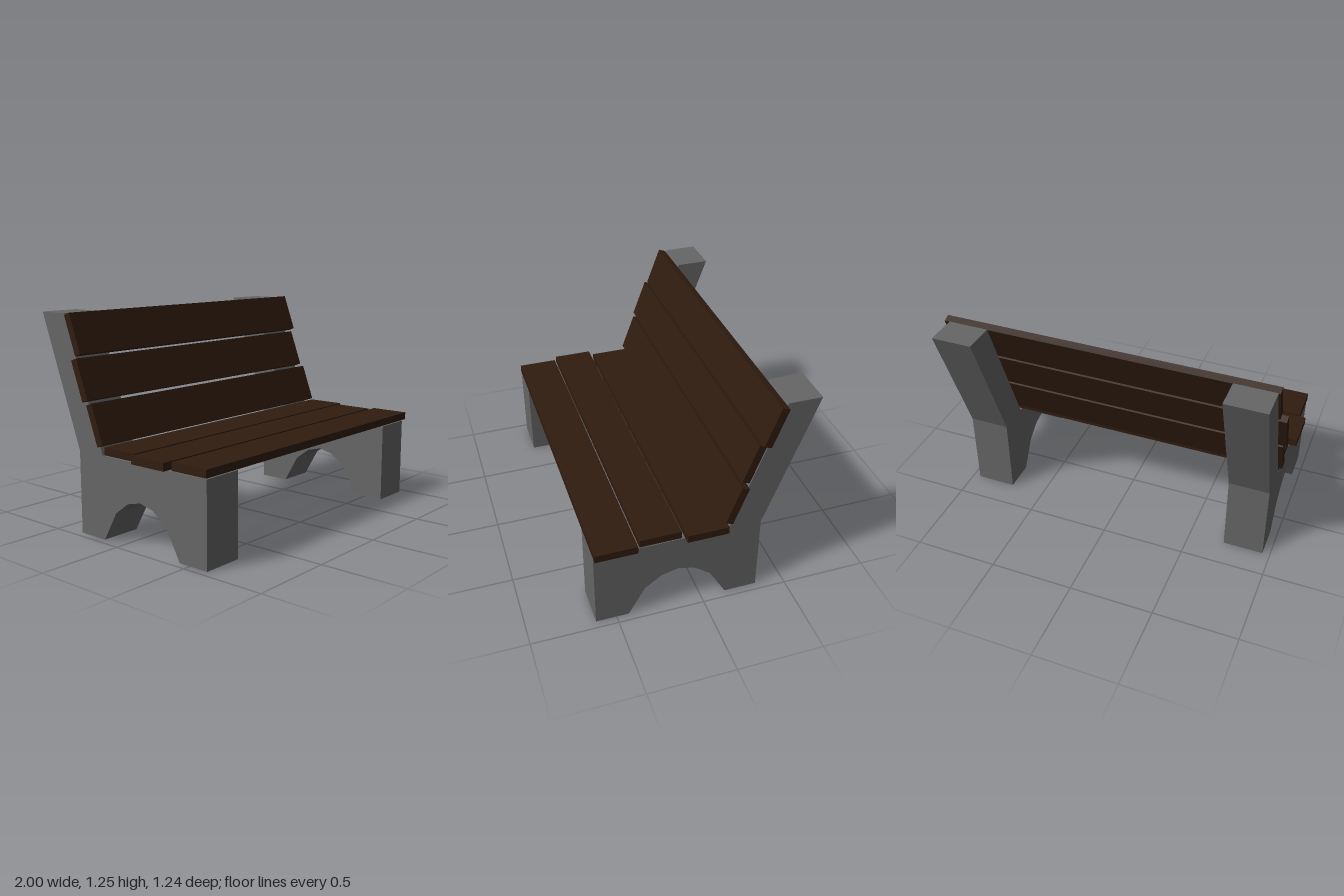
import * as THREE from 'three';

const stone = new THREE.MeshStandardMaterial({ color: 0x666666, flatShading: true });
const wood = new THREE.MeshStandardMaterial({ color: 0x301c0f, flatShading: true });

const SLAT_WIDTH = 0.238;
const SLAT_THICKNESS = 0.045;
const BACK_TILT = Math.atan2(0.285, 0.765);

// Side profile of a support as [z, y], with an arch between the feet
const PROFILE = [
  [0.62, 0], [0.62, 0.48], [-0.145, 0.48], [-0.43, 1.244], [-0.62, 1.244],
  [-0.335, 0.48], [-0.335, 0], [-0.145, 0], [-0.048, 0.17], [0.048, 0.242],
  [0.143, 0.265], [0.238, 0.242], [0.335, 0.17], [0.43, 0],
];

function createSupport(name, centreX) {
  const shape = new THREE.Shape(PROFILE.map(([z, y]) => new THREE.Vector2(z, y)));
  const depth = 0.24;
  const geometry = new THREE.ExtrudeGeometry(shape, { depth, bevelEnabled: false });
  geometry.translate(0, 0, -depth / 2).rotateY(-Math.PI / 2);
  const mesh = new THREE.Mesh(geometry, stone);
  mesh.name = name;
  mesh.position.x = centreX;
  return mesh;
}

// A plank between two x positions; its broad face lies flat before tilting
function createSlat(name, [x0, x1], y, z, tilt) {
  const mesh = new THREE.Mesh(new THREE.BoxGeometry(x1 - x0, SLAT_THICKNESS, SLAT_WIDTH), wood);
  mesh.name = name;
  mesh.position.set((x0 + x1) / 2, y, z);
  mesh.rotation.x = tilt;
  return mesh;
}

export function createModel() {
  const bench = new THREE.Group();
  bench.name = 'bench';

  bench.add(createSupport('leftSupport', 0.835), createSupport('rightSupport', -0.835));

  // Seat slats, front to back, with uneven ends
  const seat = new THREE.Group();
  seat.name = 'seat';
  [[-0.96, 0.995], [-1, 0.955], [-0.955, 1]].forEach((ends, i) => {
    seat.add(createSlat(`seatSlat${i + 1}`, ends, 0.508, 0.502 - i * 0.2565, 0));
  });

  // Backrest slats, bottom to top, leaning along the supports
  const backrest = new THREE.Group();
  backrest.name = 'backrest';
  [[-0.98, 0.98], [-1, 0.955], [-0.965, 0.995]].forEach((ends, i) => {
    backrest.add(createSlat(`backSlat${i + 1}`, ends, 0.648 + i * 0.2415, -0.178 - i * 0.09, Math.PI / 2 - BACK_TILT));
  });

  bench.add(seat, backrest);
  return bench;
}
